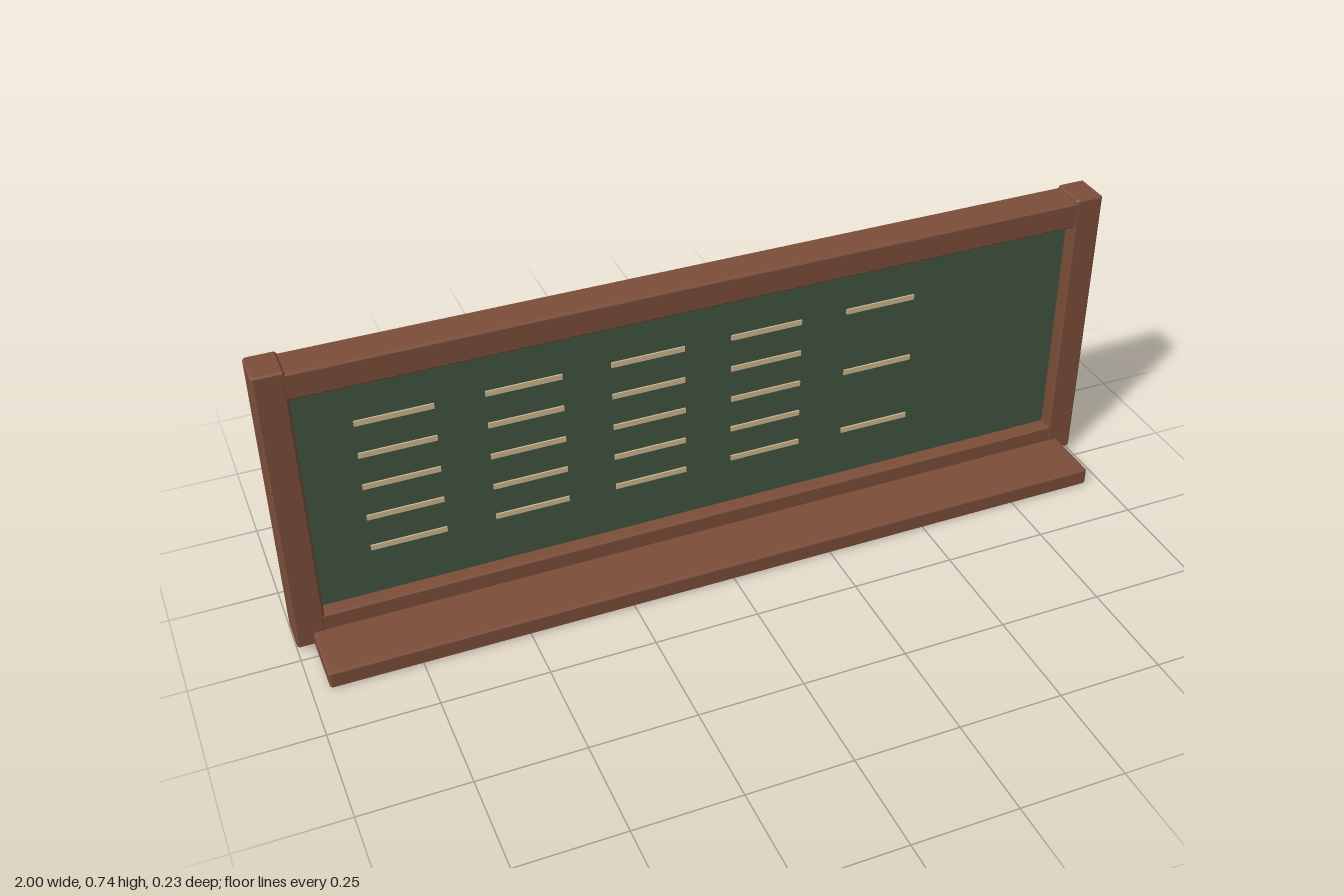
import * as THREE from 'three';
import { ConvexGeometry } from 'three/addons/geometries/ConvexGeometry.js';

const wood = new THREE.MeshStandardMaterial({ color: 0x7b4e3a, name: 'brown wood' });
const slate = new THREE.MeshStandardMaterial({ color: 0x425440, name: 'green slate' });
const chalk = new THREE.MeshStandardMaterial({ color: 0xcdb68e, name: 'cream chalk' });

// Box with every edge chamfered by c, given by its min and max corners
function chamferBox(min, max, c) {
  const half = min.map((v, i) => (max[i] - v) / 2);
  const points = [];
  for (const sx of [-1, 1]) for (const sy of [-1, 1]) for (const sz of [-1, 1]) {
    for (let axis = 0; axis < 3; axis++) {
      const p = [sx, sy, sz].map((s, i) => s * (half[i] - (i === axis ? 0 : c)));
      points.push(new THREE.Vector3(...p));
    }
  }
  return new ConvexGeometry(points).translate(...min.map((v, i) => v + half[i]));
}

export function createModel() {
  const group = new THREE.Group();
  group.name = 'chalkboard';
  const add = (name, geometry, material, parent = group) => {
    const mesh = new THREE.Mesh(geometry, material);
    mesh.name = name;
    parent.add(mesh);
    return mesh;
  };

  // Frame: two posts and two rails
  const back = -0.116, front = -0.027;
  add('leftPost', chamferBox([0.93, 0.011, back], [1, 0.737, front], 0.005), wood);
  add('rightPost', chamferBox([-1, 0.011, back], [-0.93, 0.737, front], 0.005), wood);
  add('topRail', chamferBox([-0.965, 0.664, back], [0.965, 0.73, front - 0.001], 0.005), wood);
  add('bottomRail', chamferBox([-0.965, 0.018, back], [0.965, 0.088, front - 0.001], 0.005), wood);

  // Chalk ledge along the bottom
  add('chalkLedge', chamferBox([-0.96, 0, -0.08], [0.96, 0.046, 0.117], 0.005), wood);

  // Writing panel, recessed in front and covering the back
  const panelFront = -0.062, panelBack = -0.1175;
  const panel = add('writingPanel', new THREE.BoxGeometry(1.93, 0.65, panelFront - panelBack), slate);
  panel.position.set(0, 0.374, (panelFront + panelBack) / 2);

  // Chalk dashes in five columns, the last one with every other row
  const dashes = new THREE.Group();
  dashes.name = 'chalkDashes';
  group.add(dashes);
  const dashGeometry = new THREE.BoxGeometry(0.175, 0.013, 0.004);
  for (let col = 0; col < 5; col++) {
    for (let row = 0; row < 5; row += col === 4 ? 2 : 1) {
      const dash = add('chalkDash', dashGeometry, chalk, dashes);
      dash.position.set(-0.715 + col * 0.289, 0.552 - row * 0.084, panelFront + 0.002);
    }
  }
  return group;
}
